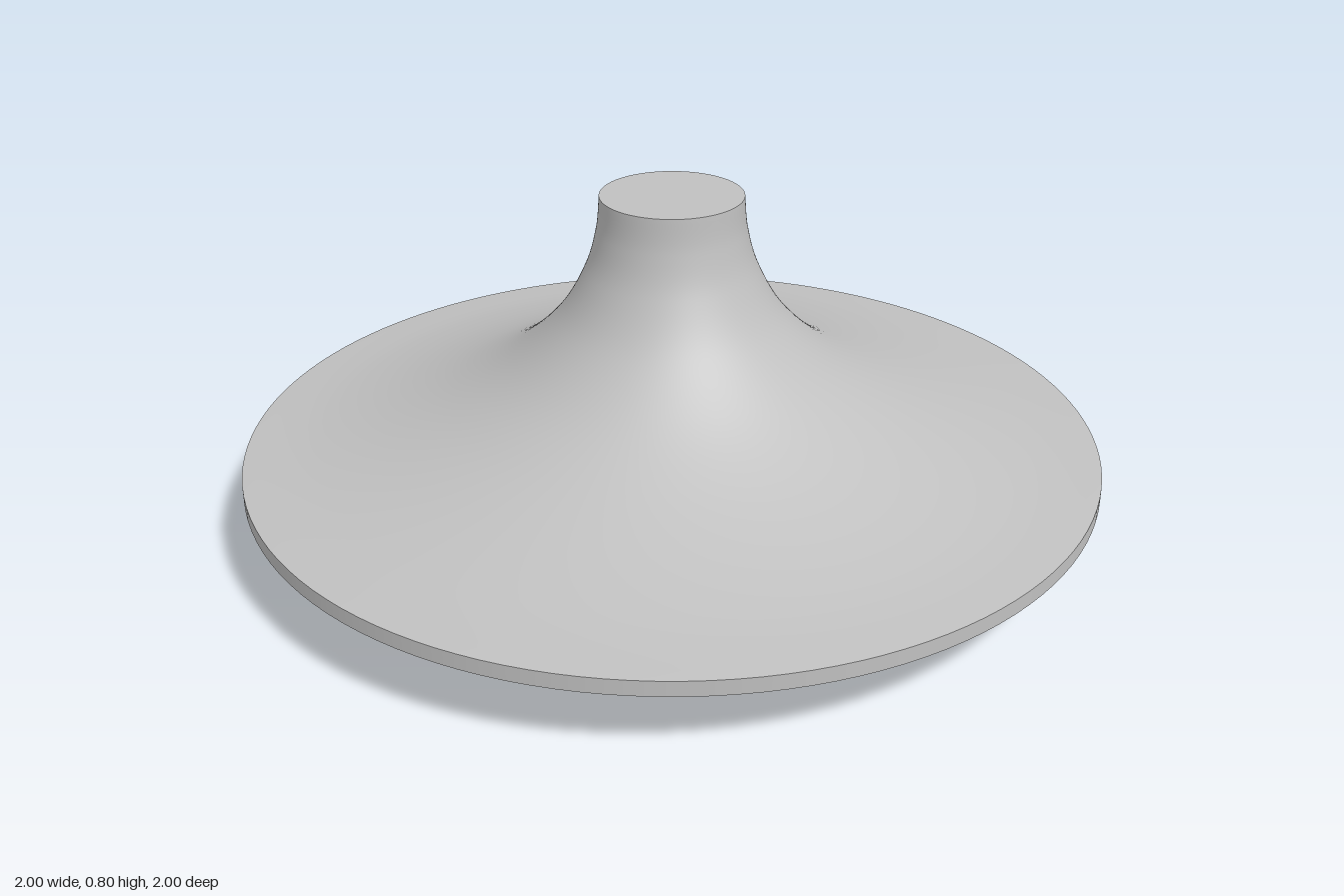
import * as THREE from 'three';

export function createModel() {
  const group = new THREE.Group();
  group.name = 'flaredPedestal';
  const grey = new THREE.MeshStandardMaterial({ color: 0xc0c0c0 });
  grey.name = 'plain grey';

  const points = (list) => list.map(([r, y]) => new THREE.Vector2(r, y));
  const smooth = (list, n) => new THREE.SplineCurve(points(list)).getPoints(n);

  // Each part is its own lathe, so the edges between parts stay sharp.
  // Profiles run from the bottom centre outwards, up and back to the axis.
  function turn(name, profile) {
    const mesh = new THREE.Mesh(new THREE.LatheGeometry(profile, 128), grey);
    mesh.name = name;
    group.add(mesh);
  }

  // Foot
  turn('footBase', points([[0, 0], [0.295, 0]]));
  turn('footEdge', points([[0.295, 0], [0.295, 0.01]]));
  turn('footStep', points([[0.295, 0.01], [0.305, 0.01]]));
  turn('footRing', points([[0.305, 0.01], [0.305, 0.025]]));

  // Curved underside and the shallow recess behind the rim
  turn('underside', smooth([
    [0.305, 0.025], [0.33, 0.042], [0.38, 0.06], [0.48, 0.085],
    [0.6, 0.119], [0.69, 0.15], [0.745, 0.175],
  ], 32));
  turn('recessFloor', points([[0.745, 0.175], [0.97, 0.175]]));
  turn('rimInnerWall', points([[0.97, 0.175], [0.97, 0.165]]));
  turn('rimBottom', points([[0.97, 0.165], [1, 0.165]]));
  turn('rimEdge', points([[1, 0.165], [1, 0.2]]));

  // Flared upper body, sweeping up into the neck
  turn('flaredBody', smooth([
    [1, 0.2], [0.84, 0.22], [0.67, 0.262], [0.51, 0.324], [0.375, 0.405],
    [0.265, 0.512], [0.2, 0.625], [0.172, 0.72], [0.164, 0.8],
  ], 64));
  turn('neckTop', points([[0.164, 0.8], [0, 0.8]]));

  return group;
}
